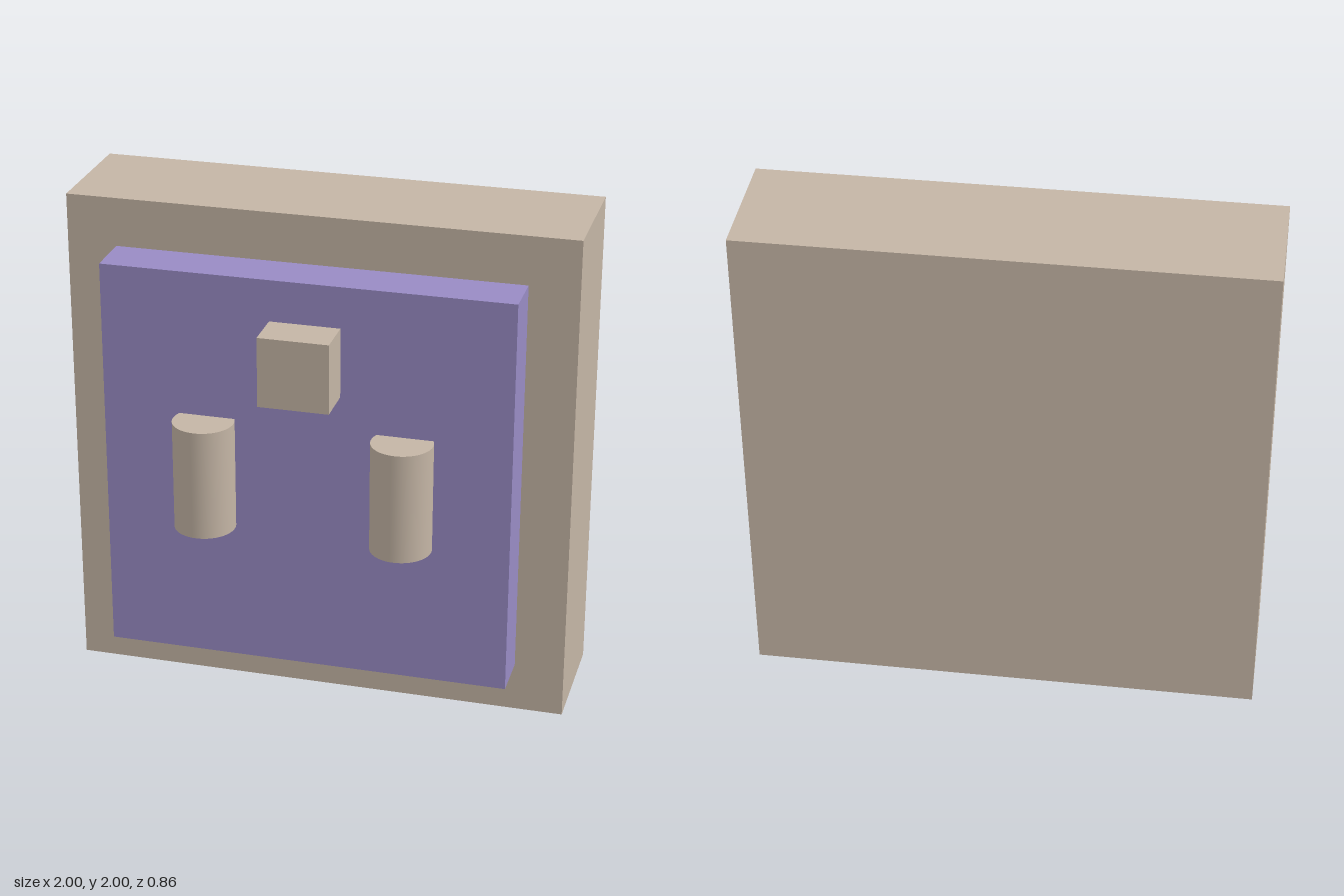
import * as THREE from 'three';

export function createModel() {
  const group = new THREE.Group();
  const tan = new THREE.MeshStandardMaterial({ color: 0xc4b5a5 });
  const purple = new THREE.MeshStandardMaterial({ color: 0x988bc4 });

  function add(name, geometry, material, x, y, z) {
    const mesh = new THREE.Mesh(geometry, material);
    mesh.name = name;
    mesh.position.set(x, y, z);
    group.add(mesh);
  }

  // Thick square backing slab and the raised panel on its front
  add('backSlab', new THREE.BoxGeometry(2, 2, 0.5), tan, 0, 1, -0.182);
  add('frontPanel', new THREE.BoxGeometry(1.608, 1.608, 0.197), purple, 0, 1.002, 0.1665);

  // Block above the centre, partly sunk into the panel
  add('centreBlock', new THREE.BoxGeometry(0.276, 0.278, 0.276), tan, 0, 1.502, 0.294);

  // Upright round bars on both sides, partly sunk into the panel
  const bar = new THREE.CylinderGeometry(0.12, 0.12, 0.444, 48);
  add('leftBar', bar, tan, 0.39, 1.002, 0.312);
  add('rightBar', bar, tan, -0.39, 1.002, 0.312);

  return group;
}
